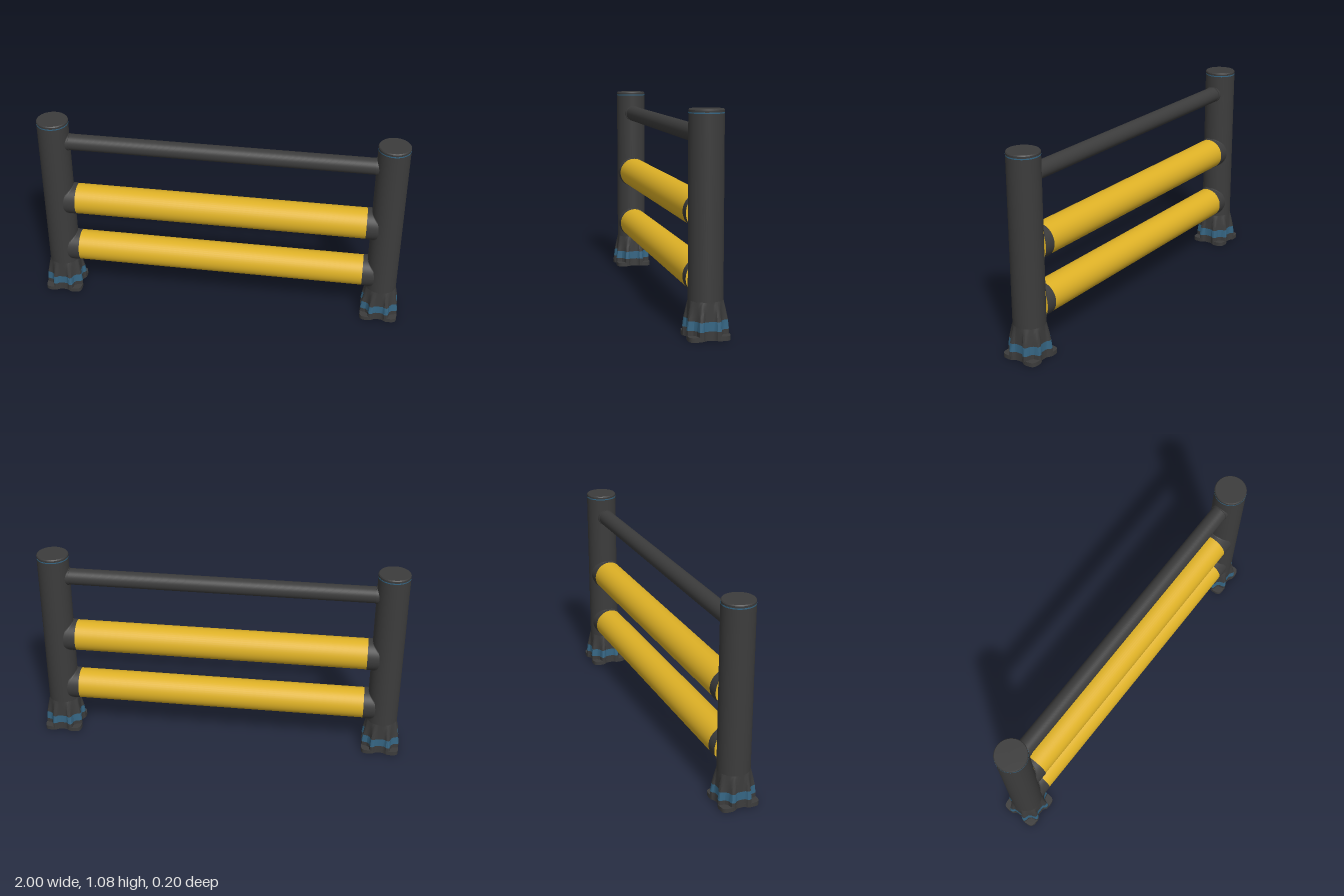
import * as THREE from 'three';
import { toCreasedNormals } from 'three/addons/utils/BufferGeometryUtils.js';

const POST_X = 0.897, POST_R = 0.084, RAIL_R = 0.084;

// Loft through rings of [x, y, z] points (rings listed bottom to top)
function loft(rings) {
  const n = rings[0].length, index = [];
  for (let j = 0; j < rings.length - 1; j++) {
    for (let i = 0; i < n; i++) {
      const k = (i + 1) % n;
      const a = j * n + i, b = j * n + k, c = a + n, d = b + n;
      index.push(a, c, b, b, c, d);
    }
  }
  const geo = new THREE.BufferGeometry();
  geo.setAttribute('position', new THREE.Float32BufferAttribute(rings.flat(2), 3));
  geo.setIndex(index);
  return toCreasedNormals(geo, 0.6);
}

// Foot outline: a grooved rib on each side, pockets at the corners
function footOutline() {
  const half = [[0, 0.086], [0.015, 0.086], [0.025, 0.089], [0.034, 0.1], [0.045, 0.1025],
    [0.053, 0.099], [0.057, 0.085], [0.059, 0.072]];
  const side = [...half.slice(1).reverse().map(([u, v]) => [-u, v]), ...half];
  const pts = [];
  for (let q = 0; q < 4; q++) {
    const c = Math.round(Math.cos(q * Math.PI / 2)), s = Math.round(Math.sin(q * Math.PI / 2));
    for (const [u, v] of side) pts.push([v * c - u * s, v * s + u * c]);
  }
  return pts;
}

// Foot ring at height y, blending from the round post to the full outline
function footRing(y) {
  const t = y <= 0.045 ? 1 : y <= 0.09 ? 0.8 + 0.2 * (0.09 - y) / 0.045
    : 0.8 * Math.pow((0.182 - y) / 0.092, 0.85);
  return footOutline().map(([x, z]) => {
    const k = POST_R / Math.hypot(x, z);
    return [x * (k + (1 - k) * t), y, z * (k + (1 - k) * t)];
  });
}

// Base plate: rounded square with a shallow notch in each side
function plateGeometry() {
  const pts = [];
  for (let i = 0; i < 96; i++) {
    const a = i / 96 * Math.PI * 2;
    const c = Math.cos(a), s = Math.sin(a);
    const r = 0.1025 / Math.pow(Math.abs(c) ** 8 + Math.abs(s) ** 8, 1 / 8);
    const notch = 0.017 * THREE.MathUtils.smoothstep(Math.cos(4 * a), -0.2, 0.8);
    pts.push(new THREE.Vector2((r - notch) * c, (r - notch) * s));
  }
  const geo = new THREE.ExtrudeGeometry(new THREE.Shape(pts), { depth: 0.022, bevelEnabled: false });
  return toCreasedNormals(geo.rotateX(-Math.PI / 2), 0.6);
}

// Sleeve on the rail end, with a rounded lip wrapped over the post
function sleeveGeometry() {
  const R = RAIL_R + 0.002, start = 0.79;
  const geo = new THREE.CylinderGeometry(R, R, 1, 64, 12, true).rotateZ(Math.PI / 2);
  const p = geo.attributes.position;
  for (let i = 0; i < p.count; i++) {
    const y = p.getY(i), z = p.getZ(i);
    const end = 0.813 + 0.042 * Math.sqrt(Math.max(0, 1 - (y / R) ** 2));
    const x = start + (p.getX(i) + 0.5) * (end - start);
    const surface = Math.sqrt(Math.max(0, (POST_R + 0.002) ** 2 - (POST_X - x) ** 2));
    if (Math.abs(z) > 1e-6) p.setZ(i, Math.sign(z) * Math.max(Math.abs(z), surface));
    p.setX(i, x);
  }
  geo.computeVertexNormals();
  return geo;
}

export function createModel() {
  const model = new THREE.Group();
  model.name = 'safetyBarrier';
  const dark = new THREE.MeshStandardMaterial({ color: 0x3c3c3c, side: THREE.DoubleSide });
  dark.name = 'charcoal';
  const yellow = new THREE.MeshStandardMaterial({ color: 0xdeb126 });
  yellow.name = 'safetyYellow';
  const blue = new THREE.MeshStandardMaterial({ color: 0x356583 });
  blue.name = 'steelBlue';

  const add = (parent, name, geo, mat, x = 0, y = 0, z = 0) => {
    const mesh = new THREE.Mesh(geo, mat);
    mesh.name = name;
    mesh.position.set(x, y, z);
    parent.add(mesh);
    return mesh;
  };
  const bar = (r, len) => new THREE.CylinderGeometry(r, r, len, 48).rotateZ(Math.PI / 2);

  // Horizontal rails
  const railHeights = [0.272, 0.585];
  railHeights.forEach((y, i) =>
    add(model, i ? 'middleRail' : 'lowerRail', bar(RAIL_R, 1.6), yellow, 0, y));
  add(model, 'handRail', bar(0.044, 1.68), dark, 0, 0.945);

  // Each end: post, cap, foot and rail sleeves
  const cap = new THREE.LatheGeometry([[0, 1.06], [POST_R, 1.06], [POST_R, 1.07], [0.08, 1.075], [0, 1.076]]
    .map(([r, y]) => new THREE.Vector2(r, y)), 48);
  for (const side of [1, -1]) {
    const end = new THREE.Group();
    end.name = side > 0 ? 'leftEnd' : 'rightEnd';
    if (side < 0) end.rotation.y = Math.PI;
    model.add(end);

    add(end, 'post', new THREE.CylinderGeometry(POST_R, POST_R, 1.035, 48), dark, POST_X, 0.5375);
    add(end, 'capRing', new THREE.CylinderGeometry(POST_R + 0.0005, POST_R + 0.0005, 0.006, 48), blue, POST_X, 1.057);
    add(end, 'postCap', toCreasedNormals(cap, 0.4), dark, POST_X);

    add(end, 'footUpper', loft([0.09, 0.11, 0.13, 0.15, 0.168, 0.182].map(footRing)), dark, POST_X);
    add(end, 'footBand', loft([0.045, 0.09].map(footRing)), blue, POST_X);
    add(end, 'footLower', loft([0.004, 0.045].map(footRing)), dark, POST_X);
    add(end, 'basePlate', plateGeometry(), dark, POST_X);

    for (const y of railHeights) add(end, 'railSleeve', sleeveGeometry(), dark, 0, y);
    add(end, 'handRailCollar', bar(0.047, 0.05), dark, 0.835, 0.945);
  }
  return model;
}
